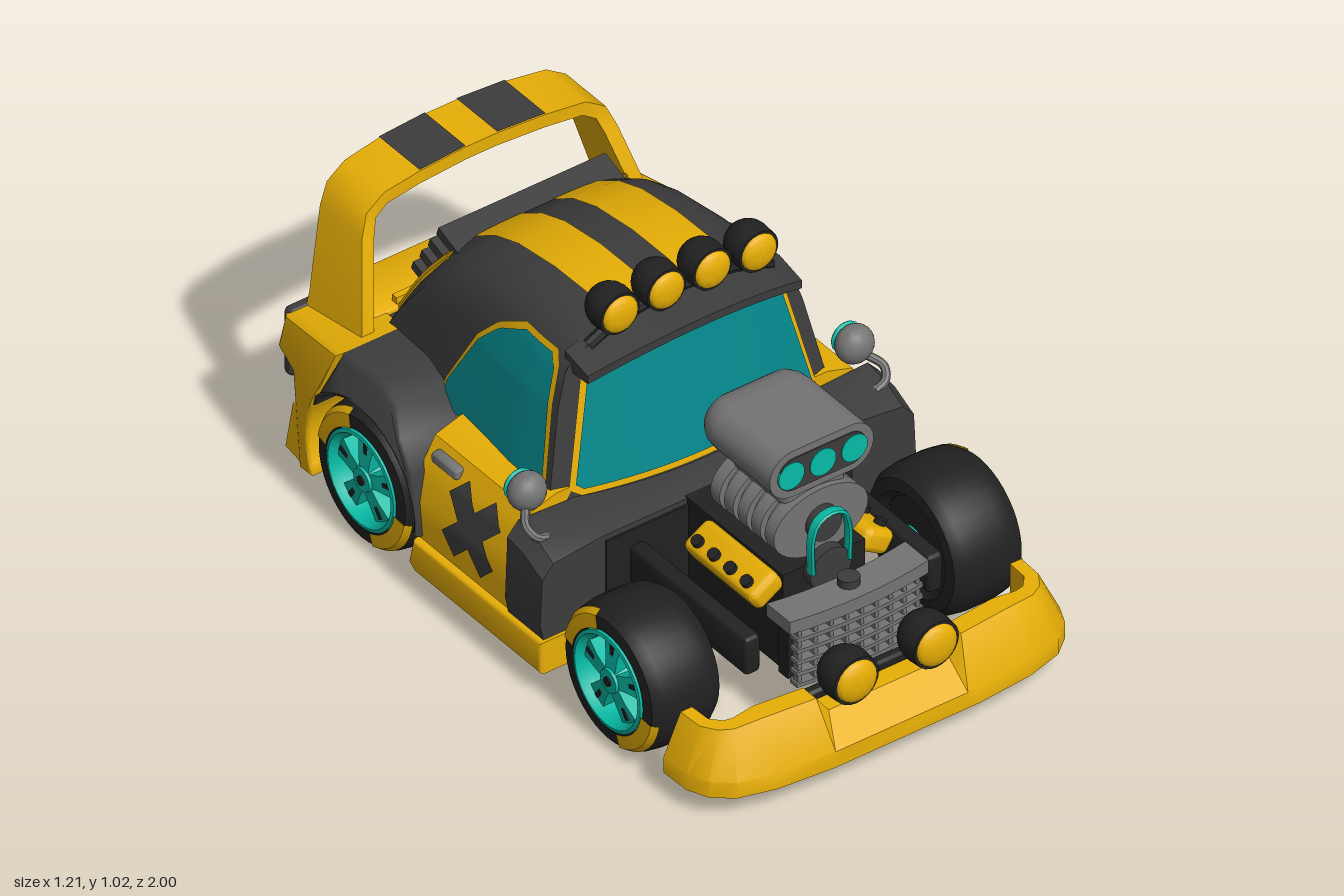
import * as THREE from 'three';
import { toCreasedNormals } from 'three/addons/utils/BufferGeometryUtils.js';
import { RoundedBoxGeometry } from 'three/addons/geometries/RoundedBoxGeometry.js';

const paint = (name, color, side = THREE.FrontSide) => Object.assign(new THREE.MeshStandardMaterial({ color, side }), { name });
const yellow = paint('yellow', 0xe9b006, THREE.DoubleSide), charcoal = paint('charcoal', 0x3c3c3c, THREE.DoubleSide);
const black = paint('black', 0x212121), glass = paint('glass', 0x04888c, THREE.DoubleSide);
const teal = paint('teal', 0x06bba6), grey = paint('grey', 0x747474);
const red = paint('red', 0xc8321c), orange = paint('orange', 0xc47a18);

const V = (x, y, z) => new THREE.Vector3(x, y, z);
const box = (w, h, d) => new THREE.BoxGeometry(w, h, d);
const rbox = (w, h, d, r) => new RoundedBoxGeometry(w, h, d, 3, r);
const cyl = (r0, r1, h, n = 24) => new THREE.CylinderGeometry(r0, r1, h, n);
const tube = (pts, r) => new THREE.TubeGeometry(new THREE.CatmullRomCurve3(pts), 20, r, 8);

function put(parent, name, geo, mat, x = 0, y = 0, z = 0) {
  const m = new THREE.Mesh(toCreasedNormals(geo, 0.65), mat);
  m.name = name;
  m.position.set(x, y, z);
  parent.add(m);
}
// piecewise linear table
function tab(t, pts) {
  if (t <= pts[0][0]) return pts[0][1];
  for (let i = 1; i < pts.length; i++) {
    const [a, p] = pts[i - 1], [b, q] = pts[i];
    if (t <= b) return p + (q - p) * (t - a) / (b - a);
  }
  return pts[pts.length - 1][1];
}
function indexed(pts, index) {
  const g = new THREE.BufferGeometry().setFromPoints(pts);
  g.setIndex(index);
  return g;
}
function sheet(f, nu, nv) {
  const pts = [], idx = [];
  for (let j = 0; j <= nv; j++) for (let i = 0; i <= nu; i++) pts.push(f(i / nu, j / nv));
  for (let j = 0; j < nv; j++) for (let i = 0; i < nu; i++) {
    const a = j * (nu + 1) + i, b = a + nu + 1;
    idx.push(a, a + 1, b, a + 1, b + 1, b);
  }
  return indexed(pts, idx);
}
// capped solid through rings, turned outward by the sign of its volume
function loft(rings) {
  const n = rings[0].length, pts = rings.flat(), idx = [], last = (rings.length - 1) * n;
  for (let j = 0; j < rings.length - 1; j++) for (let i = 0; i < n; i++) {
    const a = j * n + i, b = j * n + (i + 1) % n;
    idx.push(a, b, a + n, b, b + n, a + n);
  }
  for (const r of [rings[0], rings[rings.length - 1]]) pts.push(r.reduce((s, p) => s.add(p), V(0, 0, 0)).divideScalar(n));
  for (let i = 0; i < n; i++) {
    const k = (i + 1) % n;
    idx.push(pts.length - 2, k, i, pts.length - 1, last + i, last + k);
  }
  let vol = 0;
  for (let i = 0; i < idx.length; i += 3) vol += pts[idx[i]].dot(pts[idx[i + 1]].clone().cross(pts[idx[i + 2]]));
  return indexed(pts, vol < 0 ? idx.reverse() : idx);
}
// side outline in (z, y), extruded from x0 to x1
function sideExtrude(pts, x0, x1, bevel = 0.01) {
  const s = new THREE.Shape(pts.map(p => new THREE.Vector2(...p)));
  return new THREE.ExtrudeGeometry(s, { depth: x1 - x0 - 2 * bevel, bevelSize: bevel, bevelThickness: bevel, bevelOffset: -bevel, bevelSegments: 3 })
    .rotateY(-Math.PI / 2).translate(x1 - bevel, 0, 0);
}
function stadium(w, h, depth) {
  const s = new THREE.Shape(), r = h / 2, k = w / 2 - r;
  s.absarc(k, 0, r, -Math.PI / 2, Math.PI / 2).absarc(-k, 0, r, Math.PI / 2, Math.PI * 1.5);
  return new THREE.ExtrudeGeometry(s, { depth, bevelEnabled: false, curveSegments: 10 });
}
// builds a left part and its mirrored right twin
function pair(car, name, build) {
  const left = new THREE.Group(), right = new THREE.Group();
  left.name = name + 'Left'; right.name = name + 'Right';
  build(left);
  left.updateMatrixWorld(true);
  left.traverse(m => {
    if (!m.isMesh) return;
    const g = m.geometry.clone().applyMatrix4(m.matrixWorld).scale(-1, 1, 1);
    for (const a of Object.values(g.attributes)) for (let i = 0; i < a.array.length; i += 3 * a.itemSize)
      for (let c = 0; c < a.itemSize; c++) {
        const p = i + a.itemSize + c, q = p + a.itemSize, t = a.array[p];
        a.array[p] = a.array[q]; a.array[q] = t;
      }
    const twin = new THREE.Mesh(g, m.material);
    twin.name = m.name;
    right.add(twin);
  });
  car.add(left, right);
}

// cabin surface rules
const STATIONS = [[0.02, 0.1, 0.89], [-0.1, -0.05, 0.903], [-0.25, -0.2, 0.902], [-0.4, -0.38, 0.882], [-0.5, -0.5, 0.847], [-0.59, -0.6, 0.79], [-0.68, -0.68, 0.67], [-0.77, -0.75, 0.51]];
const sideX = (y, z) => tab(y, [[0.42, 0.445], [0.5, 0.43], [0.7, 0.388], [0.8, 0.355], [0.85, 0.33]]) * tab(z, [[-0.75, 0.86], [-0.1, 1]]);
const screenZ = (x, y) => 0.14 - (y - 0.43) * 0.2 - 0.4 * x * x;
const roofY = (yc, x, xe) => yc - 0.09 * Math.pow(Math.abs(x) / xe, 4.5);
const doorX = y => tab(y, [[0.16, 0.58], [0.28, 0.578], [0.38, 0.55], [0.45, 0.51], [0.475, 0.43]]);

function cabin(car) {
  const section = ([zt, zb, yc], k) => {
    const ye = yc - 0.09, xe = sideX(ye, zt), half = [];
    for (let i = 0; i <= 6; i++) { const y = 0.42 + (ye - 0.42) * i / 6, z = zb + (zt - zb) * i / 6; half.push(V(sideX(y, z), y, z)); }
    for (let i = 11; i >= 0; i--) half.push(V(xe * i / 12, roofY(yc, xe * i / 12, xe), zt));
    if (k === 0) half.forEach(p => { p.z = screenZ(p.x, p.y); });
    return [...half, ...half.slice(0, -1).reverse().map(p => V(-p.x, p.y, p.z))];
  };
  const rows = STATIONS.map(section), n = rows[0].length - 1;
  put(car, 'cabinShell', sheet((u, v) => rows[Math.round(v * 7)][Math.round(u * n)], n, 7), charcoal);
  const frontW = y => y < 0.8 ? sideX(y, 0) : sideX(0.8, 0) * Math.pow(Math.max(0, (0.89 - y) / 0.09), 1 / 4.5);
  const screen = (w, y0, y1, off) => sheet((u, v) => {
    const y = y0 + (y1 - y0) * v, x = (2 * u - 1) * w(y);
    return V(x, y, screenZ(x, y) + off);
  }, 16, 24);
  put(car, 'windscreenFrame', screen(frontW, 0.42, 0.89, 0), charcoal);
  put(car, 'windscreenTrim', screen(y => tab(y, [[0.445, 0.36], [0.465, 0.392], [0.8, 0.318], [0.835, 0.29], [0.853, 0.23]]), 0.445, 0.853, 0.005), yellow);
  put(car, 'windscreen', screen(y => tab(y, [[0.465, 0.355], [0.48, 0.375], [0.8, 0.302], [0.825, 0.278], [0.84, 0.22]]), 0.465, 0.84, 0.01), glass);
  // roof stripes and side windows
  pair(car, 'cabinSide', g => {
    put(g, 'roofStripe', sheet((u, v) => {
      const [zt, , yc] = STATIONS[Math.round(v * 5)], x = 0.05 + 0.145 * u, xe = sideX(yc - 0.09, zt);
      return V(x, roofY(yc, x, xe) + 0.003, zt);
    }, 4, 5), yellow);
    const pane = (m, off) => sheet((u, v) => {
      const y = 0.455 - m + (0.365 + 2 * m) * v, t = 0.455 + 0.365 * v;
      const zf = tab(t, [[0.455, 0], [0.48, 0.03], [0.79, -0.02], [0.82, -0.045]]) + m;
      const zb = tab(t, [[0.455, -0.39], [0.48, -0.43], [0.52, -0.43], [0.7, -0.33], [0.77, -0.26], [0.82, -0.16]]) - m;
      const z = zf + (zb - zf) * u;
      return V(sideX(y, z) + off, y, z);
    }, 10, 24);
    put(g, 'windowTrim', pane(0.013, 0.005), yellow);
    put(g, 'sideWindow', pane(0, 0.009), glass);
    put(g, 'rearWindowTrim', tube([V(0.275, 0.765, -0.585), V(0.287, 0.65, -0.675), V(0.3, 0.48, -0.775)], 0.012), yellow);
  });
  put(car, 'rearWindowSill', box(0.62, 0.02, 0.02), yellow, 0, 0.52, -0.78);
  for (let i = 0; i < 4; i++) put(car, 'rearLouver', box(0.53, 0.028, 0.11).rotateX(0.35), charcoal, 0, 0.775 - i * 0.058, -0.605 - i * 0.036);
  // sun visor and the lamps above it
  put(car, 'visor', loft(Array.from({ length: 13 }, (_, i) => {
    const x = -0.34 + i * 0.68 / 12, y = 0.882 - 0.62 * x * x, zf = 0.14 - 0.45 * x * x;
    return [V(x, y - 0.02, zf), V(x, y + 0.005, zf), V(x, y + 0.028, -0.01), V(x, y - 0.025, -0.01)];
  })), charcoal);
  put(car, 'roofLampBar', tube([V(-0.29, 0.85, 0.02), V(-0.2, 0.89, 0.02), V(0, 0.912, 0.02), V(0.2, 0.89, 0.02), V(0.29, 0.85, 0.02)], 0.018), black);
  for (const [x, y] of [[-0.22, 0.947], [-0.073, 0.957], [0.073, 0.957], [0.22, 0.947]]) lamp(car, 'roofLamp', x, y, 0.02, 0.065);
}

function lamp(car, name, x, y, z, r) {
  const g = new THREE.Group();
  g.name = name;
  g.position.set(x, y, z);
  put(g, 'lampShell', new THREE.SphereGeometry(r, 20, 10, 0, Math.PI * 2, 0, Math.PI / 2).rotateX(-Math.PI / 2), black);
  put(g, 'lampRim', cyl(r * 0.95, r, 0.045).rotateX(Math.PI / 2), black, 0, 0, 0.0225);
  put(g, 'lampLens', new THREE.SphereGeometry(r * 0.84, 20, 8, 0, Math.PI * 2, 0, Math.PI / 2).scale(1, 0.4, 1).rotateX(Math.PI / 2), yellow, 0, 0, 0.045);
  car.add(g);
}

function wheel(parent, z) {
  const g = new THREE.Group();
  g.name = 'wheel';
  g.position.set(0.48, 0.21, z);
  const spin = (pts, start, len, n = 40) => new THREE.LatheGeometry(pts.map(p => new THREE.Vector2(...p)), n, start, len).rotateZ(-Math.PI / 2);
  const turn = Math.PI * 2;
  put(g, 'tyre', spin([[0.13, -0.09], [0.15, -0.11], [0.185, -0.107], [0.204, -0.08], [0.21, -0.04], [0.21, 0.04], [0.204, 0.08], [0.185, 0.107], [0.15, 0.11], [0.13, 0.09], [0.13, -0.09]], 0, turn), black);
  for (const a of [0.17, Math.PI + 0.17]) put(g, 'tyreMark', spin([[0.148, 0.114], [0.187, 0.111], [0.2, 0.093]], a, 1.13, 14), yellow);
  put(g, 'rim', spin([[0.118, 0.02], [0.144, 0.02], [0.144, 0.114], [0.134, 0.116], [0.118, 0.09], [0.118, 0.02]], 0, turn), teal);
  put(g, 'rimBack', cyl(0.13, 0.13, 0.12).rotateZ(Math.PI / 2), black, -0.02);
  put(g, 'hub', cyl(0.034, 0.05, 0.07, 20).rotateZ(-Math.PI / 2), teal, 0.075);
  put(g, 'hubCap', cyl(0.014, 0.014, 0.01, 12).rotateZ(-Math.PI / 2), black, 0.11);
  // five broad slotted spokes
  for (let i = 0; i < 5; i++) {
    put(g, 'spoke', loft([[0.02, 0.019, 0.103], [0.07, 0.024, 0.1], [0.13, 0.037, 0.092]].map(([r, w, x]) =>
      [V(0.05, r, -w), V(x, r, -w), V(x, r, w), V(0.05, r, w)])).rotateX(i * turn / 5), teal);
    put(g, 'spokeSlot', box(0.008, 0.045, 0.014).translate(0.095, 0.09, 0).rotateX(i * turn / 5), black);
  }
  put(g, 'brake', cyl(0.055, 0.055, 0.03).rotateZ(Math.PI / 2), teal, -0.115);
  parent.add(g);
}

function bodySides(car) {
  const arch = (a, b) => Array.from({ length: 15 }, (_, i) => {
    const t = (a + (b - a) * i / 14) * Math.PI / 180;
    return [-0.545 + 0.235 * Math.cos(t), 0.21 + 0.235 * Math.sin(t)];
  });
  const shape = g => { // lean the fender in at the top and towards the tail
    const p = g.attributes.position;
    for (let i = 0; i < p.count; i++) p.setX(i, p.getX(i) - Math.max(0, p.getY(i) - 0.45) * 0.8 - Math.max(0, -0.7 - p.getZ(i)) * 0.22);
    return g;
  };
  pair(car, 'bodySide', g => {
    wheel(g, 0.51);
    wheel(g, -0.545);
    put(g, 'rearFender', shape(sideExtrude([[-0.296, 0.18], [-0.32, 0.36], [-0.37, 0.45], [-0.44, 0.5], [-0.53, 0.522], [-0.68, 0.515], ...arch(152, -5)], 0.33, 0.602, 0.012)), charcoal);
    put(g, 'tailFender', shape(sideExtrude([[-0.68, 0.515], [-0.95, 0.48], [-0.96, 0.37], [-0.87, 0.35], [-0.83, 0.07], [-0.76, 0.09], ...arch(205, 152)], 0.4, 0.605, 0.012)), yellow);
    const ring = z => [...[0.16, 0.22, 0.28, 0.33, 0.38, 0.42, 0.45, 0.475].map(y => V(doorX(y), y, z)), V(0.38, 0.475, z), V(0.38, 0.16, z)];
    put(g, 'door', loft([ring(0.075), ring(-0.335)]), yellow);
    for (const s of [-1, 1]) put(g, 'doorCross', sheet((u, v) => {
      const a = (u - 0.5) * 0.235, b = (v - 0.5) * 0.075, y = 0.31 + (a + b) * 0.707;
      return V(doorX(y) + 0.005, y, -0.1 + s * (a - b) * 0.707);
    }, 12, 4), charcoal);
    put(g, 'doorHandle', rbox(0.035, 0.035, 0.11, 0.012), grey, 0.533, 0.415, -0.25);
    put(g, 'sideSkirt', sideExtrude([[0.24, 0.07], [0.24, 0.17], [-0.31, 0.17], [-0.33, 0.09], [-0.3, 0.07]], 0.45, 0.603, 0.012), yellow);
    // mirror on a bent stalk
    put(g, 'mirrorShell', new THREE.SphereGeometry(0.055, 20, 14).scale(1, 1, 0.85), grey, 0.52, 0.52, 0.07);
    put(g, 'mirrorGlass', new THREE.SphereGeometry(0.046, 20, 8).scale(1, 1, 0.3), teal, 0.52, 0.52, 0.032);
    put(g, 'mirrorStalk', tube([V(0.54, 0.49, 0.09), V(0.568, 0.465, 0.13), V(0.555, 0.44, 0.155), V(0.52, 0.425, 0.16)], 0.012), grey);
    // tail lamp, lower fender gills and tail pipe
    put(g, 'tailLampBezel', stadium(0.25, 0.1, 0.03), grey, 0.4, 0.35, -0.976);
    put(g, 'tailLamp', stadium(0.21, 0.066, 0.008), red, 0.4, 0.35, -0.982);
    put(g, 'indicator', box(0.055, 0.056, 0.008), orange, 0.452, 0.35, -0.981);
    for (let i = 0; i < 3; i++) put(g, 'tailGill', box(0.02, 0.16, 0.07).rotateX(0.2), yellow, 0.49 + i * 0.035, 0.17, -0.845);
    put(g, 'tailPipe', cyl(0.025, 0.025, 0.2, 14).rotateX(Math.PI / 2), black, 0.4, 0.13, -0.87);
    put(g, 'chassisRail', rbox(0.05, 0.12, 0.56, 0.015), black, 0.29, 0.29, 0.45);
    put(g, 'floorRail', box(0.06, 0.06, 1.0), black, 0.24, 0.1, -0.25);
  });
}

function hull(car) {
  const sym = (pts, z) => [...pts.map(p => V(p[0], p[1], z)), ...pts.slice().reverse().map(p => V(-p[0], p[1], z))];
  const tub = [[0.54, 0.1], [0.55, 0.28], [0.5, 0.4], [0.42, 0.43]];
  put(car, 'tub', loft([sym(tub, 0.1), sym(tub, -0.33)]), charcoal);
  const cowl = d => [[0.57, 0.09], [0.597, 0.22], [0.59, 0.41 - d], [0.555, 0.45 - d], [0.4, 0.442 - d * 0.5]];
  put(car, 'cowl', loft([sym(cowl(0), 0.08), sym(cowl(0.012), 0.15), sym(cowl(0.05), 0.23)]), charcoal);
  put(car, 'firewall', box(0.78, 0.3, 0.02), black, 0, 0.25, 0.226);
  put(car, 'rearBody', sideExtrude([[-0.3, 0.12], [-0.3, 0.44], [-0.72, 0.5], [-0.94, 0.475], [-0.95, 0.27], [-0.75, 0.15]], -0.365, 0.365), charcoal);
  put(car, 'tailPanel', rbox(1.06, 0.215, 0.04, 0.018), charcoal, 0, 0.38, -0.945);
  put(car, 'plateRecess', box(0.38, 0.1, 0.008), black, 0, 0.38, -0.965);
  put(car, 'tailValance', box(0.88, 0.26, 0.05), black, 0, 0.23, -0.905);
  for (let i = 0; i < 11; i++) put(car, 'diffuserFin', box(0.022, 0.17, 0.1).rotateX(-0.2), black, -0.3 + i * 0.06, 0.19, -0.91);
  put(car, 'bootLid', rbox(0.78, 0.03, 0.19, 0.012), yellow, 0, 0.494, -0.855);
  put(car, 'underTray', box(0.52, 0.012, 0.14).rotateX(0.1), yellow, 0, 0.095, -0.785);
  for (let i = 0; i < 9; i++) put(car, 'underTrayRib', box(0.014, 0.016, 0.14).rotateX(0.1), yellow, -0.22 + i * 0.055, 0.086, -0.785);
  for (let i = 0; i < 4; i++) put(car, 'crossMember', box(0.6, 0.04, 0.06), black, 0, 0.09, 0.15 - i * 0.24);
  put(car, 'driveShaft', cyl(0.035, 0.035, 1, 12).rotateX(Math.PI / 2), black, 0, 0.12, -0.1);
  // hoop wing, striped on its upper face
  const half = [[0.5, 0.36, -0.7, -0.94], [0.465, 0.52, -0.71, -0.935], [0.405, 0.75, -0.79, -0.97], [0.38, 0.81, -0.805, -0.975], [0.32, 0.848, -0.81, -0.98], [0.2, 0.856, -0.82, -0.995], [0.05, 0.862, -0.825, -1]];
  const line = [...half, ...half.slice().reverse().map(([x, ...r]) => [-x, ...r])];
  put(car, 'wing', loft(line.map(([x, y, a, b], i) => {
    const p = line[Math.max(0, i - 1)], q = line[Math.min(13, i + 1)], n = V(q[1] - p[1], p[0] - q[0], 0).normalize().multiplyScalar(-0.04);
    return [V(x, y, a), V(x, y, b), V(x + n.x, y + n.y, b + 0.015), V(x + n.x, y + n.y, a)];
  })), yellow);
  pair(car, 'wingTrim', g => put(g, 'wingStripe', sheet((u, v) => {
    const [x, y, a, b] = half[5 + Math.round(u)];
    return V(x, y + 0.004, a + (b - a) * v);
  }, 1, 1), charcoal));
}

function nose(car) {
  // wraparound bumper: outer x, outer z, inward x, inward z, top height
  const half = [[0.595, 0.755, -0.09, 0, 0.24], [0.592, 0.85, -0.09, -0.03, 0.24], [0.565, 0.91, -0.09, -0.06, 0.24], [0.51, 0.955, -0.06, -0.1, 0.24], [0.4, 0.985, -0.02, -0.14, 0.24], [0.23, 1, 0, -0.14, 0.24], [0.19, 1, 0, -0.14, 0.185]];
  const line = [...half, ...half.slice().reverse().map(([x, z, i, k, t]) => [-x, z, -i, k, t])];
  put(car, 'bumper', loft(line.map(([x, z, i, k, t]) => [V(x, 0.07, z), V(x, 0.12, z), V(x + i * 0.6, t, z + k * 0.6), V(x + i, t, z + k), V(x + i, 0.07, z + k)])), yellow);
  // radiator and grille
  const bar = (y, h, w, d) => loft(Array.from({ length: 9 }, (_, i) => {
    const x = (i / 4 - 1) * w, z = 0.81 - 0.4 * x * x;
    return [V(x, y, z), V(x, y + h, z), V(x, y + h, z - d), V(x, y, z - d)];
  }));
  put(car, 'radiatorTop', bar(0.362, 0.04, 0.22, 0.1), grey);
  for (let i = 0; i < 5; i++) put(car, 'grilleBar', bar(0.185 + i * 0.036, 0.012, 0.2, 0.03), grey);
  for (let i = -4; i <= 4; i++) put(car, 'grillePost', box(0.012, 0.18, 0.02), grey, i * 0.047, 0.275, 0.793 - 0.4 * (i * 0.047) ** 2);
  put(car, 'radiatorCore', box(0.4, 0.17, 0.04), black, 0, 0.275, 0.735);
  put(car, 'radiatorCap', cyl(0.03, 0.03, 0.03), charcoal, 0, 0.41, 0.745);
  put(car, 'lampBar', rbox(0.54, 0.035, 0.035, 0.015), black, 0, 0.2, 0.85);
  for (const x of [-0.127, 0.127]) lamp(car, 'headlamp', x, 0.27, 0.905, 0.075);
}

function engine(car) {
  put(car, 'engineBlock', box(0.26, 0.3, 0.42), black, 0, 0.27, 0.43);
  pair(car, 'cylinderBank', g => {
    const bank = new THREE.Group();
    bank.position.set(0.175, 0.385, 0.49);
    bank.rotation.z = -0.55;
    put(bank, 'valveCover', rbox(0.1, 0.07, 0.3, 0.02), yellow);
    for (let i = 0; i < 4; i++) put(bank, 'coverBolt', cyl(0.017, 0.017, 0.02, 12), black, 0.018, 0.04, -0.105 + i * 0.07);
    g.add(bank);
  });
  // ribbed blower with pulley and belt
  put(car, 'blower', cyl(0.13, 0.13, 0.25, 32).rotateX(Math.PI / 2).scale(1, 0.67, 1), grey, 0, 0.53, 0.49);
  for (let i = 0; i < 5; i++) put(car, 'blowerRib', cyl(0.15, 0.15, 0.04, 32).rotateX(Math.PI / 2).scale(1, 0.67, 1), grey, 0, 0.53, 0.375 + i * 0.058);
  put(car, 'pulley', cyl(0.05, 0.05, 0.03).rotateX(Math.PI / 2), charcoal, 0, 0.53, 0.635);
  const loop = [[0.058, 0.41], [0.058, 0.52], [0.04, 0.565], [0, 0.58], [-0.04, 0.565], [-0.058, 0.52], [-0.058, 0.41]];
  put(car, 'belt', tube(loop.map(([x, y]) => V(x, y, 0)), 0.008).scale(1, 1, 2), teal, 0, 0, 0.664);
  put(car, 'lowerPulley', cyl(0.065, 0.065, 0.03).rotateX(Math.PI / 2), charcoal, 0, 0.4, 0.655);
  put(car, 'scoopNeck', rbox(0.2, 0.1, 0.24, 0.03), grey, 0, 0.635, 0.49);
  // intake scoop, rounded off at the back
  put(car, 'scoop', stadium(0.33, 0.145, 0.25), grey, 0, 0.722, 0.38);
  put(car, 'scoopTail', loft([[0.38, 1], [0.35, 0.98], [0.325, 0.9], [0.312, 0.75]].map(([z, k]) =>
    Array.from({ length: 24 }, (_, i) => {
      const a = i * Math.PI / 12 + 0.13, c = Math.cos(a);
      return V((c * 0.0725 + Math.sign(c) * 0.0925) * k, 0.722 + Math.sin(a) * 0.0725 * k, z);
    }))), grey);
  put(car, 'scoopMouth', stadium(0.28, 0.1, 0.006), charcoal, 0, 0.722, 0.628);
  for (const x of [-0.1, 0, 0.1]) put(car, 'intake', cyl(0.041, 0.041, 0.008).rotateX(Math.PI / 2), teal, x, 0.722, 0.633);
}

export function createModel() {
  const car = new THREE.Group();
  car.name = 'hotRod';
  [hull, bodySides, cabin, nose, engine].forEach(build => build(car));
  return car;
}
